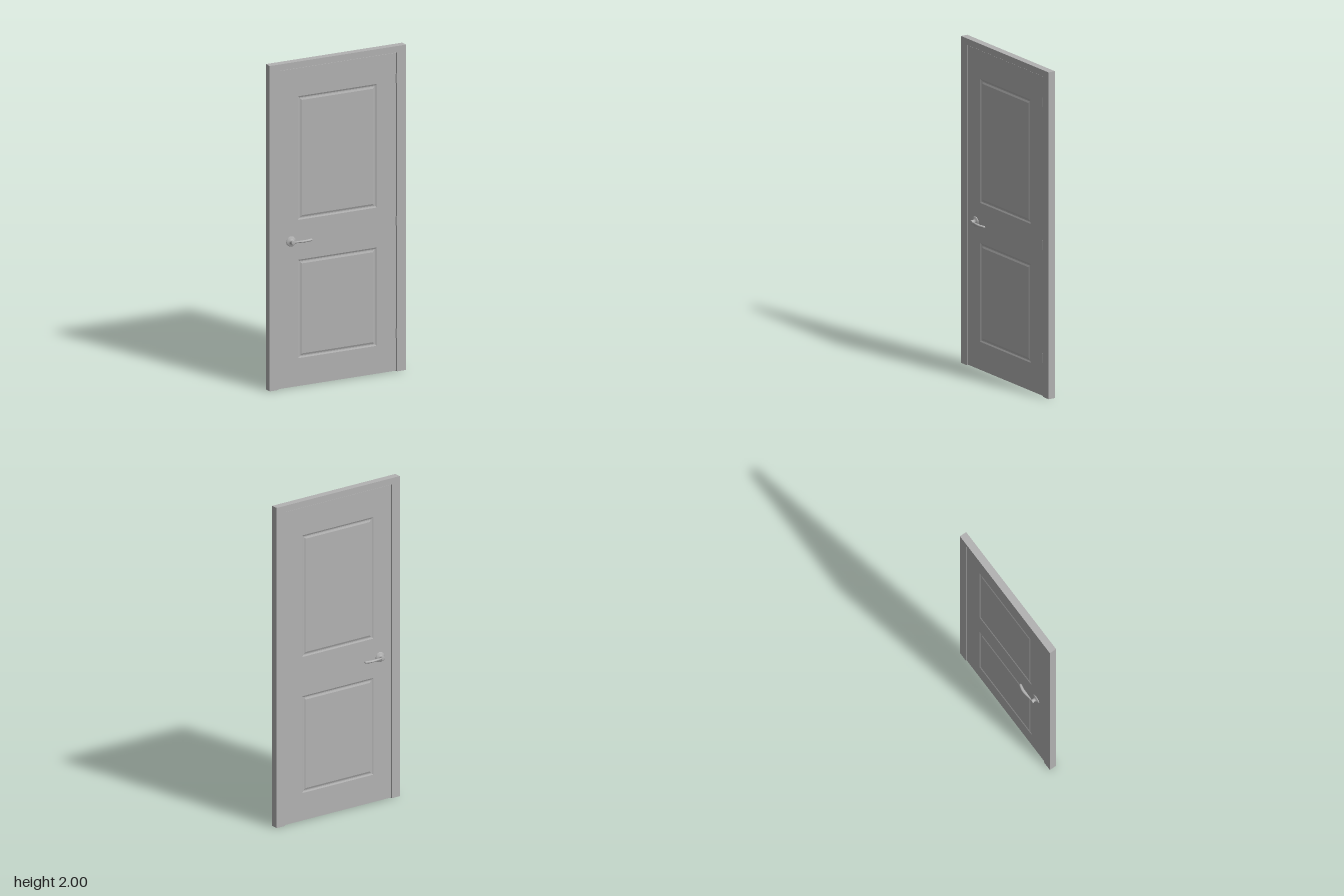
import * as THREE from 'three';

const grey = new THREE.MeshStandardMaterial({ color: 0xb2b2b2 });
grey.name = 'paintedGrey';

function add(parent, geometry, name, x = 0, y = 0, z = 0) {
  const mesh = new THREE.Mesh(geometry, grey);
  mesh.name = name;
  mesh.position.set(x, y, z);
  parent.add(mesh);
  return mesh;
}

const box = (parent, name, x0, x1, y0, y1, depth) =>
  add(parent, new THREE.BoxGeometry(x1 - x0, y1 - y0, depth), name, (x0 + x1) / 2, (y0 + y1) / 2, 0);

// Corners of a rectangle, anticlockwise, shrunk by an inset
const corners = ([x0, x1, y0, y1], inset = 0) => [
  [x0 + inset, y0 + inset], [x1 - inset, y0 + inset],
  [x1 - inset, y1 - inset], [x0 + inset, y1 - inset],
];
const outline = (pts) => pts.map(([x, y]) => new THREE.Vector2(x, y));

const DOOR = [-0.388, 0.388, 0.004, 1.958];
const PANELS = [[-0.26, 0.26, 1.025, 1.785], [-0.26, 0.26, 0.175, 0.78]];
const GROOVE = [[0, 0], [0.009, -0.004], [0.015, -0.004], [0.026, 0]]; // inset, depth
const FACE_Z = 0.018;

// Mitred moulding groove around a panel
function grooveGeometry(rect) {
  const pos = [];
  for (let k = 0; k < GROOVE.length - 1; k++) {
    const [i0, z0] = GROOVE[k], [i1, z1] = GROOVE[k + 1];
    const outer = corners(rect, i0), inner = corners(rect, i1);
    for (let s = 0; s < 4; s++) {
      const n = (s + 1) % 4;
      const a = [...outer[s], z0], b = [...outer[n], z0], c = [...inner[n], z1], d = [...inner[s], z1];
      pos.push(...a, ...b, ...c, ...a, ...c, ...d);
    }
  }
  const g = new THREE.BufferGeometry();
  g.setAttribute('position', new THREE.Float32BufferAttribute(pos, 3));
  g.computeVertexNormals();
  return g;
}

// One side of the door leaf: flat face, grooves and panel centres
function leafFace(name) {
  const face = new THREE.Group();
  face.name = name;
  const shape = new THREE.Shape(outline(corners(DOOR)));
  PANELS.forEach((p) => shape.holes.push(new THREE.Path(outline(corners(p)))));
  add(face, new THREE.ShapeGeometry(shape), 'leafSurface', 0, 0, FACE_Z);
  PANELS.forEach((p) => {
    add(face, grooveGeometry(p), 'panelGroove', 0, 0, FACE_Z);
    add(face, new THREE.ShapeGeometry(new THREE.Shape(outline(corners(p, 0.026)))), 'panelCentre', 0, 0, FACE_Z);
  });
  return face;
}

// Curved lever: a capped cylinder reshaped along its length
function leverGeometry() {
  const sections = [ // x, centre z, half depth, half height
    [0.005, 0.048, 0.004, 0.005], [0.027, 0.048, 0.005, 0.006], [0.057, 0.050, 0.008, 0.0065],
    [0.087, 0.0505, 0.009, 0.007], [0.112, 0.046, 0.0085, 0.0075],
    [0.125, 0.043, 0.007, 0.006], [0.128, 0.0425, 0.003, 0.003],
  ];
  const path = new THREE.CatmullRomCurve3(sections.map(([x, z]) => new THREE.Vector3(x, 0, z)), false, 'catmullrom');
  const size = new THREE.CatmullRomCurve3(sections.map((s) => new THREE.Vector3(0, s[3], s[2])), false, 'catmullrom');
  const g = new THREE.CylinderGeometry(1, 1, 1, 20, 24).rotateZ(-Math.PI / 2);
  const p = g.attributes.position;
  for (let i = 0; i < p.count; i++) {
    const t = THREE.MathUtils.clamp(p.getX(i) + 0.5, 0, 1);
    const c = path.getPoint(t), s = size.getPoint(t);
    p.setXYZ(i, c.x, p.getY(i) * s.y, c.z + p.getZ(i) * s.z);
  }
  g.computeVertexNormals();
  return g;
}

// Rosette, neck and lever, facing +z
function doorHandle(name) {
  const handle = new THREE.Group();
  handle.name = name;
  const profile = [
    [0.031, 0.015], [0.031, 0.021], [0.027, 0.0235], [0.019, 0.026], [0.013, 0.029],
    [0.0105, 0.034], [0.0105, 0.041], [0.013, 0.043], [0.013, 0.05], [0.011, 0.052], [0, 0.052],
  ].map(([r, h]) => new THREE.Vector2(r, h));
  add(handle, new THREE.LatheGeometry(profile, 32).rotateX(Math.PI / 2), 'rosette');
  add(handle, leverGeometry(), 'lever');
  handle.position.set(-0.307, 0.9, 0);
  return handle;
}

export function createModel() {
  const model = new THREE.Group();
  model.name = 'panelDoor';

  // Frame, with a thin stop closing the gap around the leaf
  const frame = new THREE.Group();
  frame.name = 'frame';
  box(frame, 'rightJamb', -0.45, -0.391, 0, 2, 0.045);
  box(frame, 'leftJamb', 0.391, 0.45, 0, 2, 0.045);
  box(frame, 'headJamb', -0.391, 0.391, 1.961, 2, 0.045);
  box(frame, 'rightStop', -0.391, -0.386, 0, 1.961, 0.02);
  box(frame, 'leftStop', 0.386, 0.391, 0, 1.961, 0.02);
  box(frame, 'headStop', -0.391, 0.391, 1.956, 1.961, 0.02);

  // Leaf: two moulded faces and the four edges between them
  const leaf = new THREE.Group();
  leaf.name = 'leaf';
  const back = leafFace('backFace');
  back.rotation.y = Math.PI;
  leaf.add(leafFace('frontFace'), back);
  const [x0, x1, y0, y1] = DOOR, t = FACE_Z * 2;
  box(leaf, 'rightEdge', x0, x0 + 0.02, y0, y1, t - 0.0004);
  box(leaf, 'leftEdge', x1 - 0.02, x1, y0, y1, t - 0.0004);
  box(leaf, 'topEdge', x0, x1, y1 - 0.02, y1, t - 0.0004);
  box(leaf, 'bottomEdge', x0, x1, y0, y0 + 0.02, t - 0.0004);

  // Hinge knuckles on the front
  for (const y of [0.235, 0.925, 1.802]) {
    add(model, new THREE.CylinderGeometry(0.0035, 0.0035, 0.056, 12), 'hinge', 0.387, y, 0.0185);
  }

  // Handles on both sides
  const backHandle = doorHandle('backHandle');
  backHandle.rotation.x = Math.PI;
  model.add(frame, leaf, doorHandle('frontHandle'), backHandle);
  return model;
}
